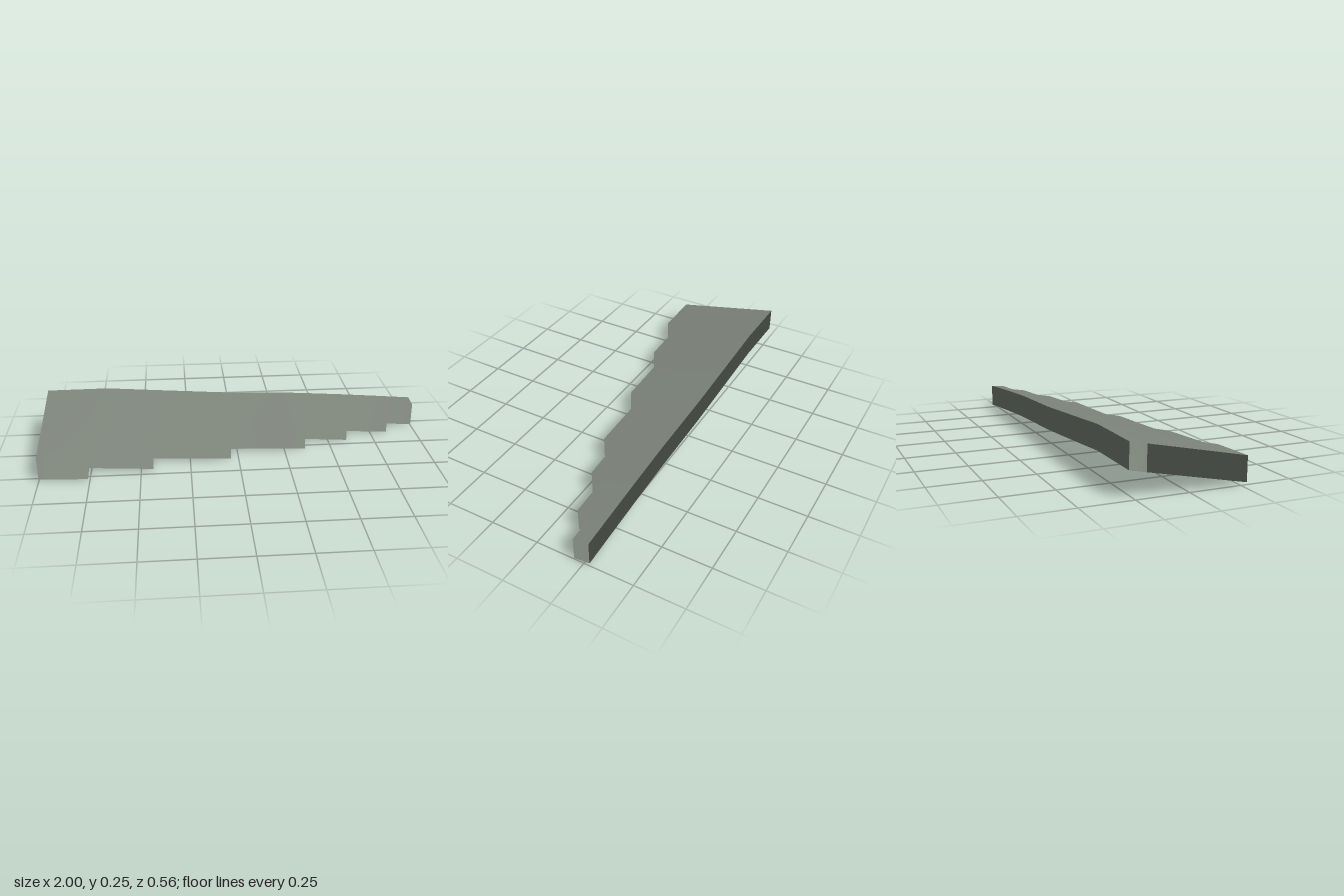
import * as THREE from 'three';

const CELL = 0.08, THICK = 0.12;
// number of cells in each row, from the back row to the stepped front
const ROWS = [25, 23, 20, 17, 12, 7, 3];

// piecewise linear lookup through [x, value] points
function lerpTable(points, x) {
  let i = 1;
  while (i < points.length - 1 && x > points[i][0]) i++;
  const [x0, v0] = points[i - 1], [x1, v1] = points[i];
  return v0 + (v1 - v0) * (x - x0) / (x1 - x0);
}

// ridge height along the back, then depth and height of the stepped edge
const RIDGE = [[-1, 0.248], [-0.68, 0.25], [-0.44, 0.232], [-0.04, 0.203],
  [0.36, 0.186], [0.6, 0.169], [0.84, 0.149], [1, 0.135]];
const EDGE_Z = [[-1, 0.34], [-0.76, 0.28], [-0.44, 0.2], [-0.04, 0.12],
  [0.36, 0.04], [0.6, -0.04], [0.84, -0.12], [1, -0.2]];
const EDGE_Y = [[-1, 0.118], [-0.76, 0.122], [-0.04, 0.12], [0.36, 0.122], [0.84, 0.122], [1, 0.126]];

// surface slopes straight from the ridge down to the stepped edge
function height(x, z) {
  const t = (z + 0.28) / (lerpTable(EDGE_Z, x) + 0.28);
  return THREE.MathUtils.lerp(lerpTable(RIDGE, x), lerpTable(EDGE_Y, x), t);
}

// smooth upward normal of the sloping surface
function surfaceNormal(x, z) {
  const dx = height(x + CELL, z) - height(x - CELL, z);
  const dz = height(x, z + CELL) - height(x, z - CELL);
  return new THREE.Vector3(-dx, 2 * CELL, -dz).normalize().toArray();
}

// collects quads given as grid corners [i, j, drop]; skirts share the surface normals
function sheet(fill) {
  const pos = [], nor = [];
  const corner = ([i, j, drop]) => {
    const x = -1 + i * CELL, z = -0.28 + j * CELL;
    pos.push(x, height(x, z) - drop, z);
    nor.push(...surfaceNormal(x, z));
  };
  fill((a, b, c, d) => [a, b, c, a, c, d].forEach(corner));
  const geometry = new THREE.BufferGeometry();
  geometry.setAttribute('position', new THREE.Float32BufferAttribute(pos, 3));
  geometry.setAttribute('normal', new THREE.Float32BufferAttribute(nor, 3));
  return geometry;
}

// visits every grid cell
function eachCell(visit) {
  ROWS.forEach((count, j) => {
    for (let i = 0; i < count; i++) visit(i, j);
  });
}

const filled = (i, j) => j >= 0 && j < ROWS.length && i >= 0 && i < ROWS[j];

// open sloping top
const topGeometry = () => sheet((quad) => eachCell((i, j) =>
  quad([i, j, 0], [i, j + 1, 0], [i + 1, j + 1, 0], [i + 1, j, 0])));

// skirt hanging from the stepped outline
const skirtGeometry = () => sheet((quad) => {
  const wall = (i0, j0, i1, j1) =>
    quad([i0, j0, THICK], [i1, j1, THICK], [i1, j1, 0], [i0, j0, 0]);
  eachCell((i, j) => {
    if (!filled(i, j + 1)) wall(i, j + 1, i + 1, j + 1);
    if (!filled(i, j - 1)) wall(i + 1, j, i, j);
    if (!filled(i + 1, j)) wall(i + 1, j + 1, i + 1, j);
    if (!filled(i - 1, j)) wall(i, j, i, j + 1);
  });
});

export function createModel() {
  const stone = new THREE.MeshStandardMaterial({ color: 0x7d847a, side: THREE.DoubleSide });
  stone.name = 'grey green stone';
  const group = new THREE.Group();
  group.name = 'slopingGround';
  const parts = { slopingTop: topGeometry(), steppedSkirt: skirtGeometry() };
  for (const [name, geometry] of Object.entries(parts)) {
    const mesh = new THREE.Mesh(geometry, stone);
    mesh.name = name;
    group.add(mesh);
  }
  return group;
}
